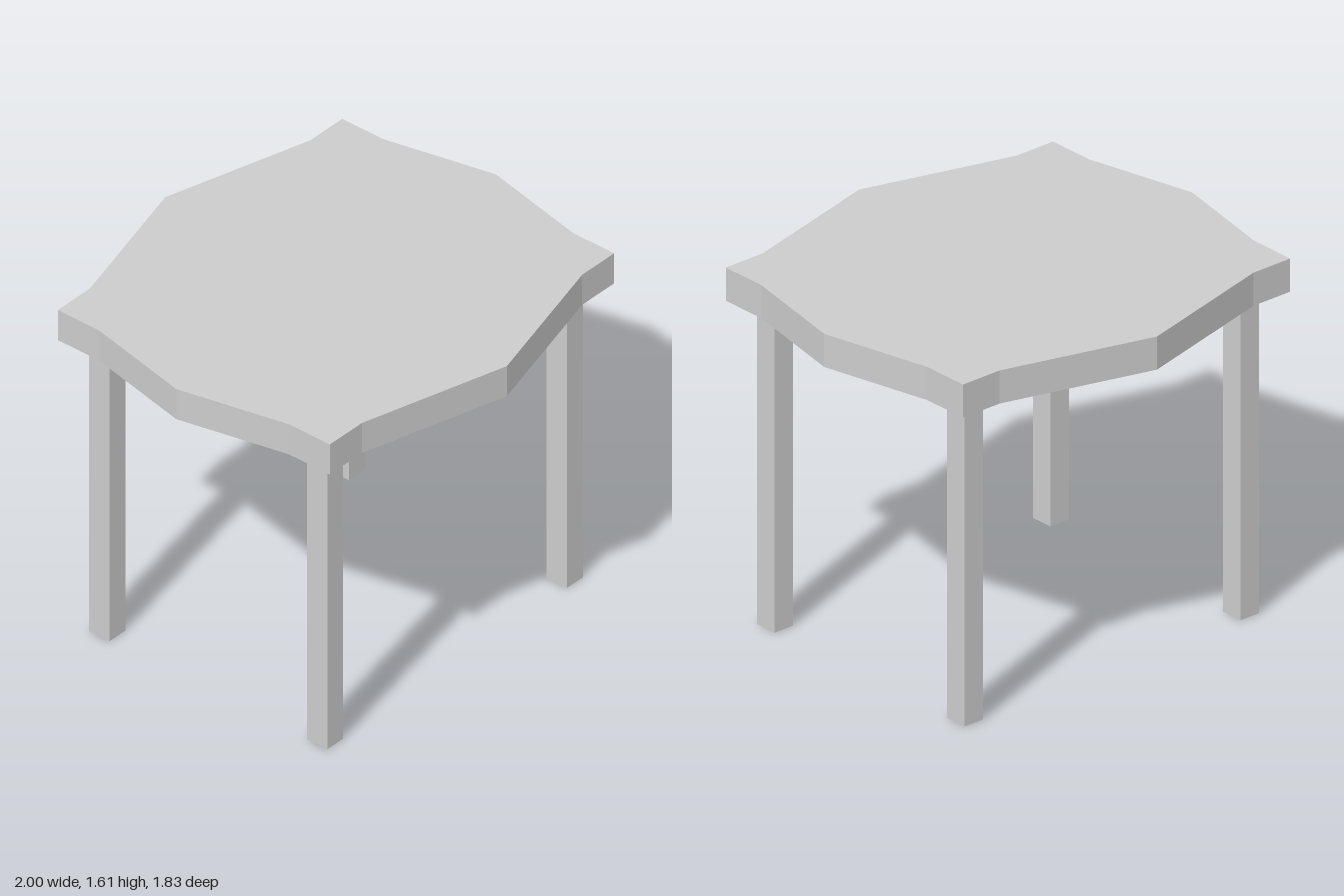
import * as THREE from 'three';

const material = new THREE.MeshStandardMaterial({ color: 0xcccccc, flatShading: true });

const LEG_HEIGHT = 1.46;
const TOP_THICKNESS = 0.15;

// Slab with pointed sides and square notched corners, mirrored from one quadrant
function createTop() {
  const quadrant = [[1, 0], [0.89, 0.51], [0.89, 0.73], [0.69, 0.73]];
  const flip = ([x, z]) => [-x, z];
  const half = [...quadrant, [0, 0.917], ...quadrant.map(flip).reverse()];
  const outline = [...half, ...half.slice(1, -1).map(([x, z]) => [-x, -z])];
  const shape = new THREE.Shape(outline.map(([x, z]) => new THREE.Vector2(x, z)));
  const geometry = new THREE.ExtrudeGeometry(shape, { depth: TOP_THICKNESS, bevelEnabled: false });
  geometry.rotateX(-Math.PI / 2);
  const top = new THREE.Mesh(geometry, material);
  top.name = 'tableTop';
  top.position.y = LEG_HEIGHT;
  return top;
}

// Four straight square legs
function createLegs() {
  const legs = new THREE.Group();
  legs.name = 'legs';
  const geometry = new THREE.BoxGeometry(0.1, LEG_HEIGHT, 0.108);
  for (const [sx, side] of [[1, 'Left'], [-1, 'Right']]) {
    for (const [sz, end] of [[1, 'front'], [-1, 'back']]) {
      const leg = new THREE.Mesh(geometry, material);
      leg.name = `${end}${side}Leg`;
      leg.position.set(sx * 0.75, LEG_HEIGHT / 2, sz * 0.585);
      legs.add(leg);
    }
  }
  return legs;
}

export function createModel() {
  const table = new THREE.Group();
  table.name = 'table';
  table.add(createTop(), createLegs());
  return table;
}
